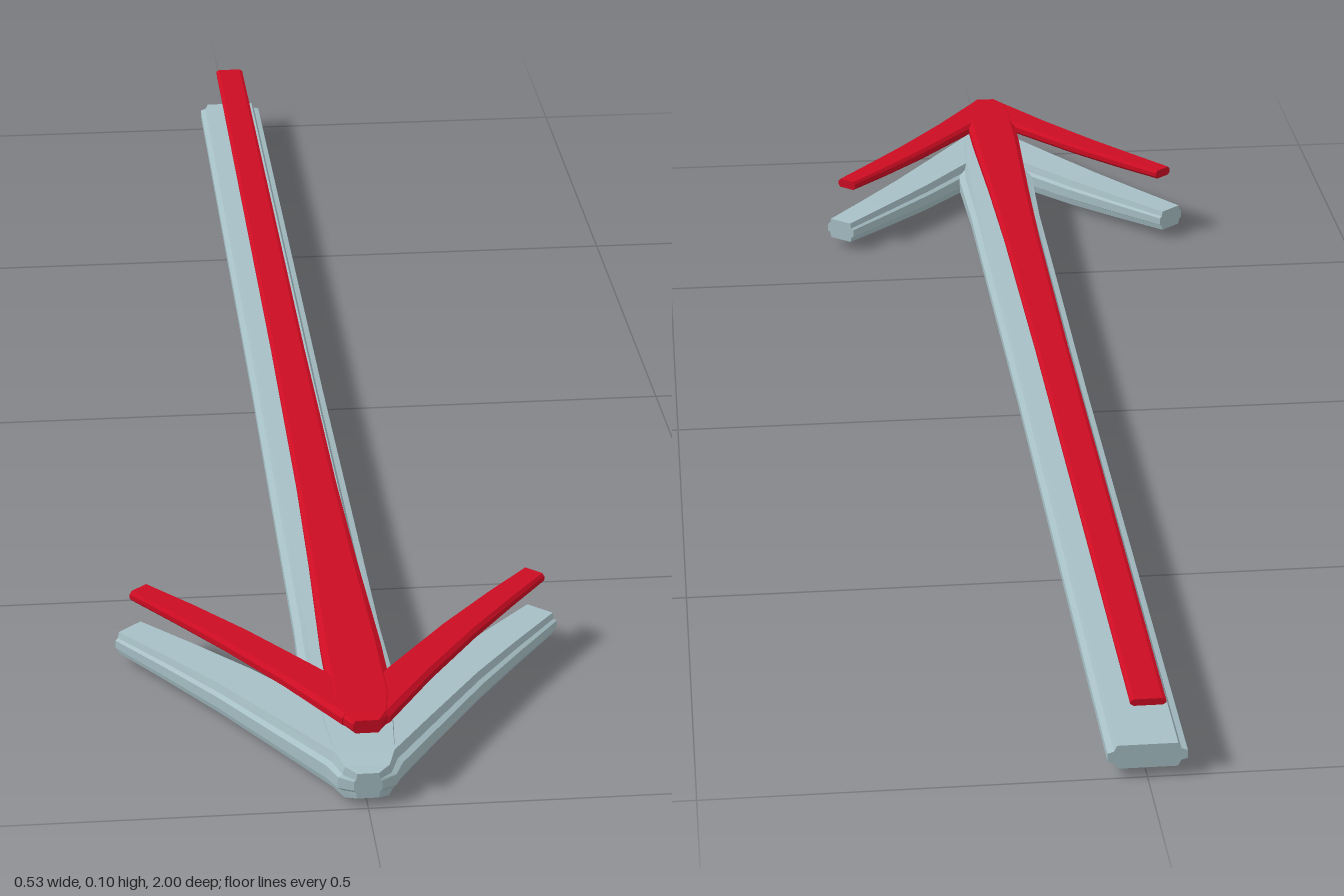
import * as THREE from 'three';

// Full cross-section from its right upper quarter, counter-clockwise
function mirrorProfile(quarter) {
  const flip = (sx, sy) => quarter.map(([a, b]) => [a * sx, b * sy]);
  return [
    ...flip(1, 1), ...flip(-1, 1).reverse(),
    ...flip(-1, -1), ...flip(1, -1).reverse(),
  ];
}

// Loft a profile through stations [x, z, halfWidth, halfHeight] at height y
function loft(profile, stations, y) {
  const n = profile.length;
  const rings = stations.map(([x, z, w, h], i) => {
    const a = stations[Math.max(i - 1, 0)];
    const b = stations[Math.min(i + 1, stations.length - 1)];
    const len = Math.hypot(b[0] - a[0], b[1] - a[1]);
    const dx = (b[0] - a[0]) / len, dz = (b[1] - a[1]) / len;
    return profile.map(([u, v]) => [x + dz * u * w, y + v * h, z - dx * u * w]);
  });
  const pos = [];
  const tri = (...pts) => pts.forEach((p) => pos.push(...p));
  for (let r = 0; r < rings.length - 1; r++) {
    const A = rings[r], B = rings[r + 1];
    for (let i = 0; i < n; i++) {
      const j = (i + 1) % n;
      tri(A[i], A[j], B[j]);
      tri(A[i], B[j], B[i]);
    }
  }
  // End caps
  const last = stations.length - 1;
  const c0 = [stations[0][0], y, stations[0][1]];
  const c1 = [stations[last][0], y, stations[last][1]];
  for (let i = 0; i < n; i++) {
    const j = (i + 1) % n;
    tri(c0, rings[0][j], rings[0][i]);
    tri(c1, rings[last][i], rings[last][j]);
  }
  const g = new THREE.BufferGeometry();
  g.setAttribute('position', new THREE.Float32BufferAttribute(pos, 3));
  g.computeVertexNormals();
  return g;
}

// One arrow layer: a shaft and two swept-back barbs
function arrow(name, material, profile, y, shaft, barb) {
  const group = new THREE.Group();
  group.name = name;
  const add = (part, stations) => {
    const mesh = new THREE.Mesh(loft(profile, stations, y), material);
    mesh.name = part;
    group.add(mesh);
  };
  add(name + 'Shaft', shaft);
  for (const [side, s] of [['left', 1], ['right', -1]]) {
    add(side + name + 'Barb', barb.map(([x, z, w, h]) => [x * s, z, w, h]));
  }
  return group;
}

export function createModel() {
  const steel = new THREE.MeshStandardMaterial({ color: 0xa6bfc5 });
  steel.name = 'paleSteel';
  const red = new THREE.MeshStandardMaterial({ color: 0xcc0c22 });
  red.name = 'red';

  // Base has a side flange below a narrower raised face; inlay is a bevelled strip
  const flanged = mirrorProfile([[1, 0.35], [0.84, 0.5], [0.76, 1]]);
  const bevelled = mirrorProfile([[1, 0.45], [0.8, 1]]);

  const model = new THREE.Group();
  model.name = 'arrow';
  model.add(
    arrow('Base', steel, flanged, 0.0265,
      [[0, -1, 0.045, 0.0145], [0, 0, 0.047, 0.0145], [0, 0.45, 0.05, 0.0155],
        [0, 0.65, 0.051, 0.019], [0, 0.8, 0.055, 0.025], [0, 0.9, 0.05, 0.0265],
        [0, 0.96, 0.044, 0.024], [0, 0.985, 0.033, 0.02], [0, 0.995, 0.016, 0.016]],
      [[0.005, 0.947, 0.04, 0.0235], [0.065, 0.862, 0.038, 0.0215],
        [0.13, 0.775, 0.033, 0.0195], [0.19, 0.703, 0.028, 0.017],
        [0.246, 0.638, 0.0235, 0.0145]]),
    arrow('Inlay', red, bevelled, 0.094,
      [[0, -1, 0.02, 0.004], [0, 0, 0.022, 0.004], [0, 0.4, 0.025, 0.0045],
        [0, 0.6, 0.029, 0.006], [0, 0.8, 0.035, 0.0085], [0, 0.92, 0.036, 0.009],
        [0, 0.96, 0.029, 0.009], [0, 0.98, 0.016, 0.008]],
      [[0.003, 0.95, 0.029, 0.0085], [0.065, 0.862, 0.024, 0.008],
        [0.13, 0.775, 0.021, 0.0075], [0.185, 0.708, 0.018, 0.007],
        [0.235, 0.65, 0.015, 0.0062]]),
  );
  return model;
}
